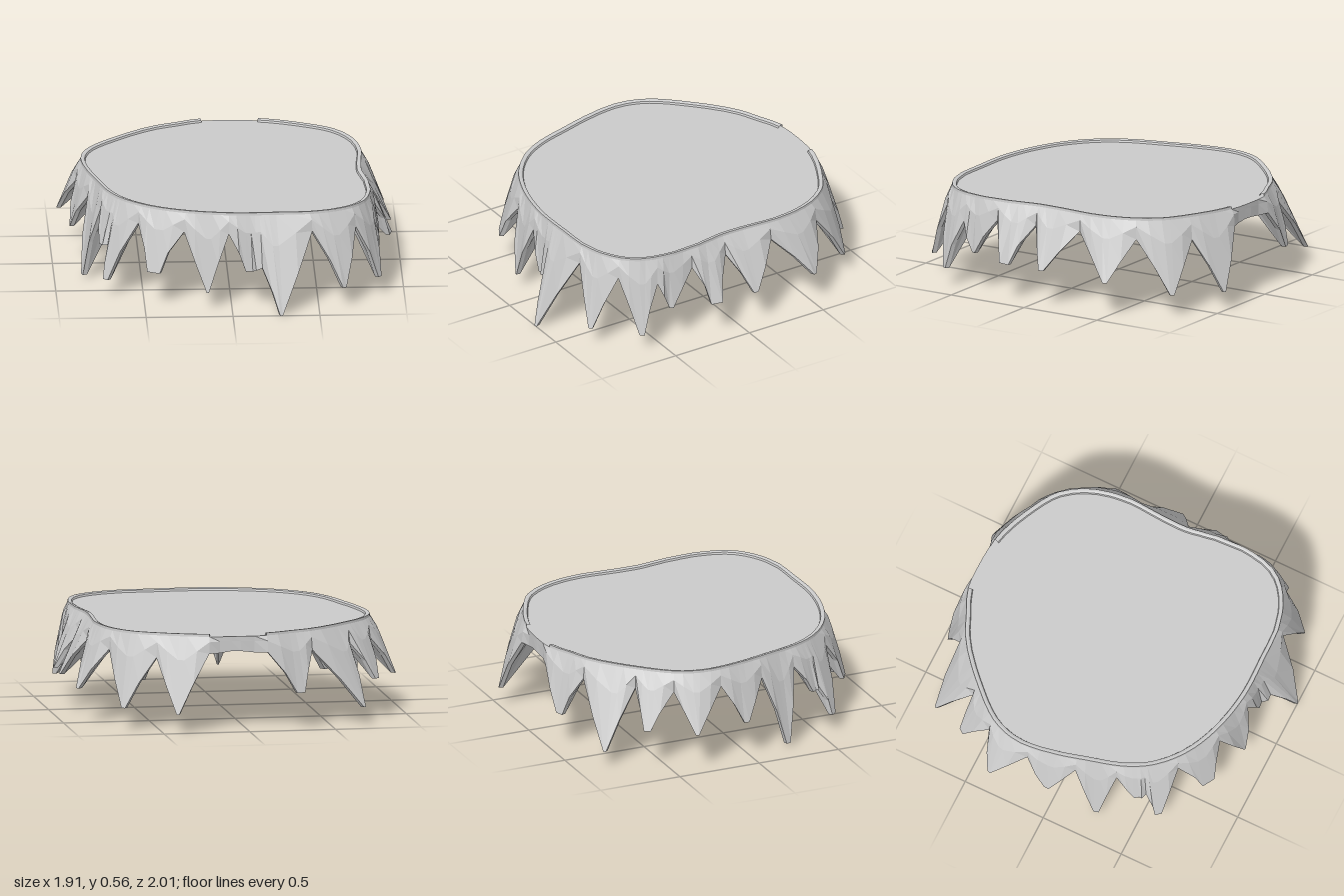
import * as THREE from 'three';

const TOP = 0.545, UNDER = 0.52, RIM = 0.56;
const TAU = Math.PI * 2;
const mix = THREE.MathUtils.lerp;
const outward = angle => new THREE.Vector3(Math.sin(angle), 0, Math.cos(angle));

// Outline of the top plate as [x, z]
const outline = new THREE.CatmullRomCurve3([
  [0, 0.8], [0.25, 0.8], [0.46, 0.79], [0.64, 0.73], [0.76, 0.62], [0.81, 0.45], [0.81, 0.25],
  [0.78, 0.05], [0.78, -0.1], [0.79, -0.35], [0.74, -0.57], [0.64, -0.72], [0.46, -0.83],
  [0.25, -0.91], [0.05, -0.93], [-0.12, -0.92], [-0.24, -0.87], [-0.41, -0.79], [-0.62, -0.61],
  [-0.78, -0.42], [-0.83, -0.25], [-0.81, -0.05], [-0.76, 0.15], [-0.69, 0.38], [-0.6, 0.53],
  [-0.45, 0.66], [-0.25, 0.75],
].map(([x, z]) => new THREE.Vector3(x, 0, z)), true).getSpacedPoints(720);

// Spikes around the edge: tip x, y, z, height of the notch after it,
// where that notch lies on the way to the next tip, half width of the tip.
// A tip above 0.4 is a plain stretch without a spike.
const spikes = [
  [-0.14, 0.1, 0.87, 0.44, 0.5, 0.006], [0.1, 0.22, 0.85, 0.25, 0.5, 0.02],
  [0.28, 0, 1, 0.45, 0.65, 0.008], [0.65, 0.12, 0.86, 0.44, 0.5, 0.012],
  [0.86, 0.11, 0.64, 0.4, 0.5, 0.015], [0.86, 0.23, 0.44, 0.44, 0.5, 0.012],
  [0.94, 0.22, 0.18, 0.44, 0.5, 0.035], [0.95, 0.22, -0.08, 0.45, 0.55, 0.015],
  [0.92, 0.2, -0.5, 0.44, 0.5, 0.012], [0.71, 0.13, -0.83, 0.42, 0.5, 0.012],
  [0.42, 0.11, -1, 0.45, 0.5, 0.008], [0.07, 0.46, -0.93, 0.45, 0.5, 0.03],
  [-0.31, 0.21, -0.95, 0.44, 0.33, 0.025], [-0.7, 0.1, -0.84, 0.44, 0.5, 0.008],
  [-0.81, 0.23, -0.62, 0.44, 0.5, 0.02], [-0.96, 0.22, -0.37, 0.45, 0.5, 0.01],
  [-0.9, 0.22, -0.03, 0.44, 0.5, 0.015], [-0.84, 0.02, 0.26, 0.44, 0.5, 0.015],
  [-0.74, 0.27, 0.47, 0.28, 0.5, 0.015], [-0.72, 0.1, 0.6, 0.45, 0.5, 0.02],
  [-0.45, 0.2, 0.79, 0.44, 0.5, 0.04],
];

// Point on the outline at an angle, pushed outward by d
function edge(angle, y, d = 0) {
  const dir = outward(angle);
  let best = outline[0], most = -Infinity;
  for (const p of outline) {
    const c = p.dot(dir) / p.length();
    if (c > most) { most = c; best = p; }
  }
  return dir.multiplyScalar(best.length() + d).setY(y);
}

// Flat-shaded surface between rows of points
function loft(name, rows, closed, material) {
  const pos = [], n = rows[0].length;
  const tri = (...pts) => pts.forEach(p => pos.push(p.x, p.y, p.z));
  for (let k = 0; k < rows.length - 1; k++) {
    for (let i = 0; i < (closed ? n : n - 1); i++) {
      const j = (i + 1) % n;
      const a = rows[k][i], b = rows[k + 1][i], c = rows[k + 1][j], d = rows[k][j];
      if (!b.equals(c)) tri(a, b, c);
      if (!a.equals(d)) tri(a, c, d);
    }
  }
  const geo = new THREE.BufferGeometry();
  geo.setAttribute('position', new THREE.Float32BufferAttribute(pos, 3));
  geo.computeVertexNormals();
  const mesh = new THREE.Mesh(geo, material);
  mesh.name = name;
  return mesh;
}

// Columns around the edge: angle, lowest point and depth of the inner root
function makeColumns() {
  const n = spikes.length;
  let last = -1;
  const tips = spikes.map(([x, y, z]) => {
    let angle = Math.atan2(x, z);
    while (angle < last) angle += TAU;
    last = angle;
    return { angle, p: new THREE.Vector3(x, y, z) };
  });
  const notches = spikes.map((s, i) => {
    const next = tips[(i + 1) % n].angle + (i === n - 1 ? TAU : 0);
    const angle = mix(tips[i].angle, next, s[4]);
    return { angle, p: edge(angle, s[3], (RIM - s[3]) * 0.25) };
  });
  const columns = [];
  tips.forEach(({ angle, p }, i) => {
    const w = spikes[i][5], flat = p.y > 0.4;
    const after = notches[i], before = notches[(i + n - 1) % n];
    const start = before.angle - (i === 0 ? TAU : 0);
    const side = new THREE.Vector3(Math.cos(angle), 0, -Math.sin(angle));
    const add = (a, low, inset) => columns.push({ angle: a, low, inset: flat ? 0.04 : inset, flat });
    // Shoulder halfway down the side of a spike
    const shoulder = (notch, a) => add(a, flat ? edge(a, 0.45)
      : notch.p.clone().lerp(p, 0.5).addScaledVector(outward(a), 0.015), 0.08);
    shoulder(before, mix(start, angle, 0.4));
    add(mix(start, angle, 0.85), p.clone().addScaledVector(side, -w), 0.14);
    add(mix(angle, after.angle, 0.15), p.clone().addScaledVector(side, w), 0.19);
    shoulder(after, mix(angle, after.angle, 0.6));
    columns.push({ angle: after.angle, low: after.p, inset: 0.06, flat: false });
  });
  return columns;
}

export function createModel() {
  const group = new THREE.Group();
  group.name = 'spikedPlatform';
  const material = new THREE.MeshStandardMaterial({
    color: 0xcccccc, flatShading: true, side: THREE.DoubleSide,
  });
  const columns = makeColumns();
  const row = fn => columns.map(fn);

  // Plate on top
  const rimRow = row(c => edge(c.angle, TOP));
  group.add(loft('topPlate', [
    row(() => new THREE.Vector3(0, TOP, 0)), row(c => edge(c.angle, TOP, -0.15)), rimRow,
  ], true, material));

  // Skirt of spikes, with slightly bulging outer faces and ridged backs
  const low = row(c => c.low);
  const mid = row((c, i) => rimRow[i].clone().lerp(c.low, 0.3)
    .addScaledVector(outward(c.angle), c.flat ? 0 : 0.012));
  const back = row(c => c.low.clone().addScaledVector(outward(c.angle), -0.025));
  const root = row(c => edge(c.angle, UNDER, -c.inset));
  group.add(loft('spikeSkirt', [rimRow, mid, low, back, root], true, material));

  // Underside
  group.add(loft('underside', [root, row(() => new THREE.Vector3(0, UNDER, 0))], true, material));

  // Thin raised lip flush with the skirt, open along the plain stretch
  const gap = columns.findIndex(c => c.flat);
  const lipColumns = [...columns.slice(gap + 4), ...columns.slice(0, gap)];
  const lip = [[-0.03, TOP], [-0.026, RIM - 0.004], [-0.014, RIM], [-0.002, RIM], [0, TOP]];
  group.add(loft('rimLip', lip.map(([d, y]) => lipColumns.map(c => edge(c.angle, y, d))), false, material));
  return group;
}
